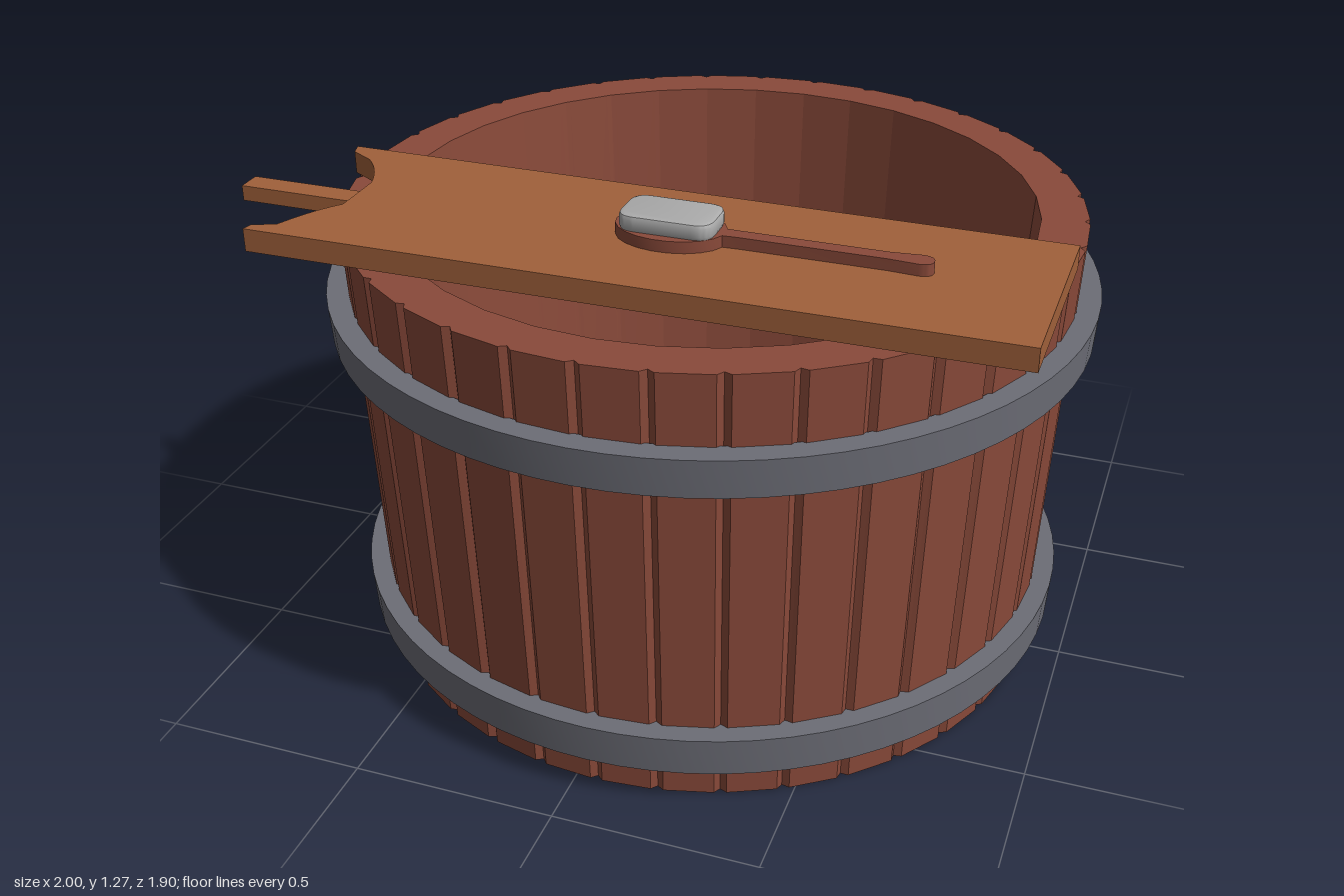
import * as THREE from 'three';
import { toCreasedNormals } from 'three/addons/utils/BufferGeometryUtils.js';

const material = (name, color) => {
  const m = new THREE.MeshStandardMaterial({ color });
  m.name = name;
  return m;
};

const TUB_X = 0.05;
const STAVES = 36;

// Ring of staves with chamfered joints, plus floor and underside
function tubGeometry() {
  const step = (Math.PI * 2) / STAVES;
  const fractions = [0, 0.1, 0.9]; // joint, then both ends of the stave face
  const chord = (f) => Math.cos(step / 2) / Math.cos((f - 0.5) * step);
  // [radius, height, joint depth]
  const profile = [
    [0, 0, 0], [0.85, 0, 0.014], [0.906, 1.14, 0.014],
    [0.79, 1.14, 0], [0.73, 0.08, 0], [0, 0.08, 0],
  ];
  const rings = profile.map(([r, y, dip]) => {
    const ring = [];
    for (let s = 0; s < STAVES; s++) {
      for (const f of fractions) {
        const radius = r * chord(f) - (f === 0 ? dip : 0);
        const t = (s + f) * step;
        ring.push([radius * Math.cos(t), y, radius * Math.sin(t)]);
      }
    }
    return ring;
  });
  const pos = [];
  for (let j = 0; j < rings.length - 1; j++) {
    const n = rings[j].length;
    for (let i = 0; i < n; i++) {
      const k = (i + 1) % n;
      const a = rings[j][i], b = rings[j][k], c = rings[j + 1][k], d = rings[j + 1][i];
      if (profile[j][0] > 0) pos.push(...a, ...d, ...b);
      if (profile[j + 1][0] > 0) pos.push(...b, ...d, ...c);
    }
  }
  const g = new THREE.BufferGeometry();
  g.setAttribute('position', new THREE.Float32BufferAttribute(pos, 3));
  g.computeVertexNormals();
  return g;
}

// Slightly flared metal hoop
function hoopGeometry(y0, y1, r0, r1) {
  const pts = [[r0 - 0.06, y0], [r0, y0], [r1, y1], [r1 - 0.06, y1], [r0 - 0.06, y0]];
  const g = new THREE.LatheGeometry(pts.map(([x, y]) => new THREE.Vector2(x, y)), 72);
  return toCreasedNormals(g, 0.5);
}

// Horizontal slab from an outline drawn in x and z, between two heights
function slabGeometry(shape, y0, y1, bevel = 0) {
  const g = new THREE.ExtrudeGeometry(shape, {
    depth: y1 - y0 - 2 * bevel, curveSegments: 10,
    bevelEnabled: bevel > 0, bevelThickness: bevel, bevelSize: bevel,
    bevelOffset: -bevel, bevelSegments: 2,
  });
  g.rotateX(Math.PI / 2);
  g.translate(0, y1 - bevel, 0);
  return toCreasedNormals(g, 0.5);
}

// Plank with a hollowed end
function plankShape() {
  const s = new THREE.Shape();
  s.moveTo(0.955, 0.14);
  s.lineTo(0.955, 0.66);
  s.lineTo(-0.85, 0.67);
  s.lineTo(-0.845, 0.645);
  s.lineTo(-0.79, 0.62);
  s.quadraticCurveTo(-0.75, 0.52, -0.705, 0.47);
  s.lineTo(-0.705, 0.33);
  s.quadraticCurveTo(-0.73, 0.25, -0.78, 0.2);
  s.lineTo(-0.84, 0.165);
  s.lineTo(-0.85, 0.13);
  return s;
}

// Oval dish running into a long slim handle
function dishShape() {
  const s = new THREE.Shape();
  const a = 0.22;
  s.absellipse(0.08, 0.39, 0.13, 0.09, a, Math.PI * 2 - a, false, 0);
  s.lineTo(0.24, 0.371);
  s.lineTo(0.58, 0.371);
  s.lineTo(0.65, 0.363);
  s.quadraticCurveTo(0.68, 0.365, 0.68, 0.39);
  s.quadraticCurveTo(0.68, 0.412, 0.65, 0.413);
  s.lineTo(0.58, 0.408);
  s.lineTo(0.24, 0.408);
  return s;
}

// Rounded rectangle
function roundedShape(x0, z0, x1, z1, r) {
  const s = new THREE.Shape();
  s.moveTo(x0 + r, z0);
  s.lineTo(x1 - r, z0);
  s.quadraticCurveTo(x1, z0, x1, z0 + r);
  s.lineTo(x1, z1 - r);
  s.quadraticCurveTo(x1, z1, x1 - r, z1);
  s.lineTo(x0 + r, z1);
  s.quadraticCurveTo(x0, z1, x0, z1 - r);
  s.lineTo(x0, z0 + r);
  s.quadraticCurveTo(x0, z0, x0 + r, z0);
  return s;
}

export function createModel() {
  const redWood = material('red wood', 0x8a4a3a);
  const plankWood = material('plank wood', 0xa0603a);
  const iron = material('iron', 0x6c6d76);
  const soapGrey = material('soap grey', 0xacacac);

  const model = new THREE.Group();
  model.name = 'washTub';
  const add = (name, geometry, mat, x = 0) => {
    const mesh = new THREE.Mesh(geometry, mat);
    mesh.name = name;
    mesh.position.x = x;
    model.add(mesh);
  };

  // Tub
  add('staves', tubGeometry(), redWood, TUB_X);
  add('lowerHoop', hoopGeometry(0.1, 0.2, 0.9, 0.907), iron, TUB_X);
  add('upperHoop', hoopGeometry(0.87, 0.965, 0.943, 0.95), iron, TUB_X);

  // Plank across the rim, with its tongue
  add('plank', slabGeometry(plankShape(), 1.152, 1.208), plankWood);
  const tongue = new THREE.BoxGeometry(0.3, 0.038, 0.062);
  tongue.translate(-0.85, 1.18, 0.4);
  add('plankTongue', tongue, plankWood);

  // Handled dish and the soap on it
  add('dish', slabGeometry(dishShape(), 1.205, 1.236), redWood);
  add('soap', slabGeometry(roundedShape(-0.03, 0.325, 0.195, 0.46, 0.045), 1.234, 1.275, 0.01), soapGrey);
  return model;
}
